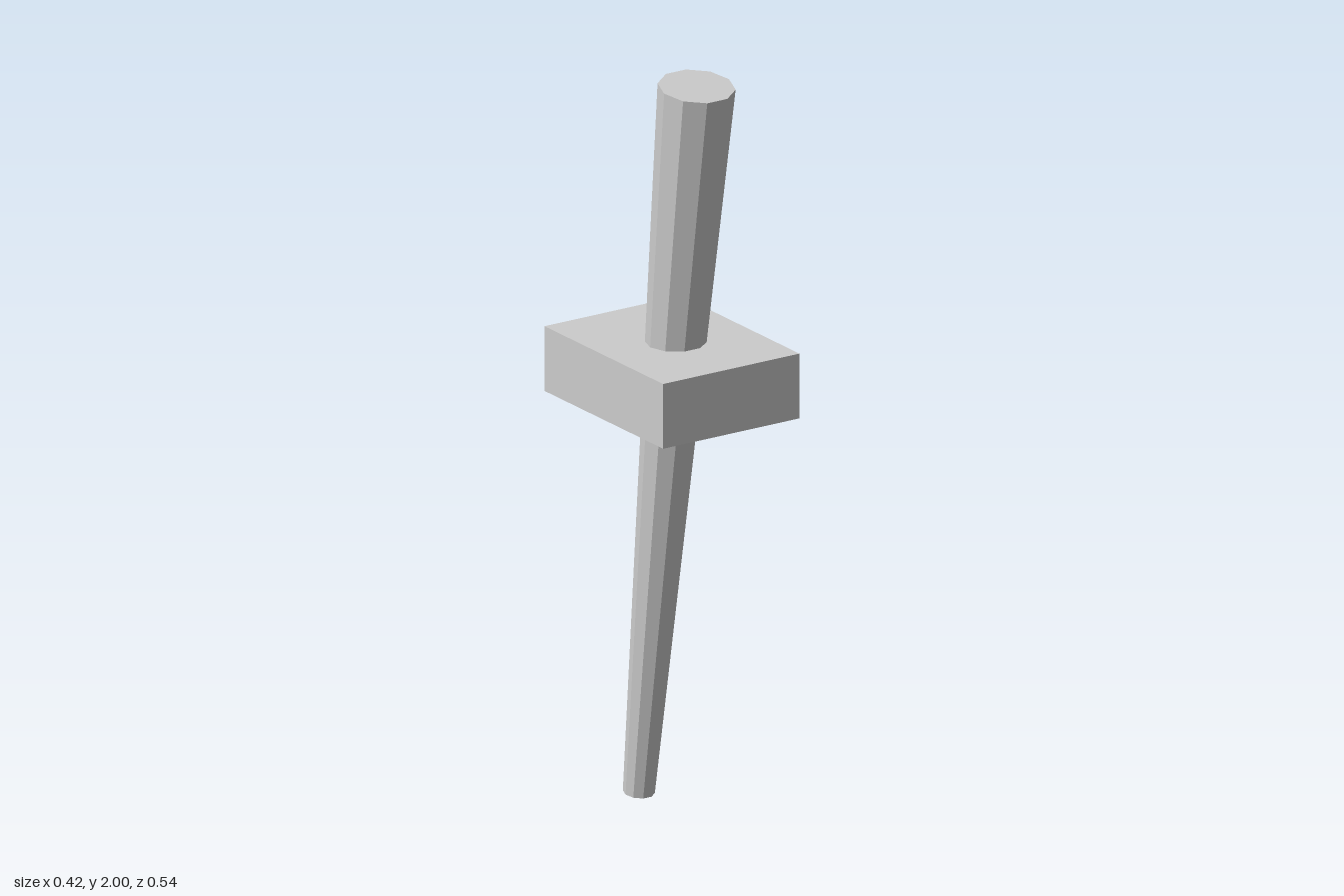
import * as THREE from 'three';

export function createModel() {
  const model = new THREE.Group();
  const grey = new THREE.MeshStandardMaterial({
    color: 0xcccccc, flatShading: true, side: THREE.DoubleSide,
  });
  grey.name = 'plain grey';

  // Tapered ten-sided shaft, leaning forward, with its lower end open
  const bottom = new THREE.Vector3(0, 0.006, -0.151);
  const top = new THREE.Vector3(0, 1.988, 0.112);
  const axis = top.clone().sub(bottom);
  const length = axis.length();
  const shaft = new THREE.Group();
  shaft.name = 'shaft';
  const wall = new THREE.Mesh(
    new THREE.CylinderGeometry(0.1, 0.041, length, 10, 1, true, Math.PI / 2), grey);
  wall.name = 'shaftWall';
  const cap = new THREE.Mesh(new THREE.CircleGeometry(0.1, 10), grey);
  cap.name = 'shaftCap';
  cap.rotation.x = -Math.PI / 2;
  cap.position.y = length / 2;
  shaft.add(wall, cap);
  shaft.position.copy(bottom).add(top).multiplyScalar(0.5);
  shaft.rotation.x = Math.atan2(axis.z, axis.y);
  model.add(shaft);

  // Box-shaped guard around the shaft: five thin walls, open at the back
  const box = new THREE.BoxGeometry(0.42, 0.175, 0.54);
  box.setIndex(Array.from(box.index.array).slice(0, 30)); // drop the rear face
  box.clearGroups();
  const guard = new THREE.Mesh(box, grey);
  guard.name = 'guard';
  guard.position.y = 1.183;
  model.add(guard);

  return model;
}
